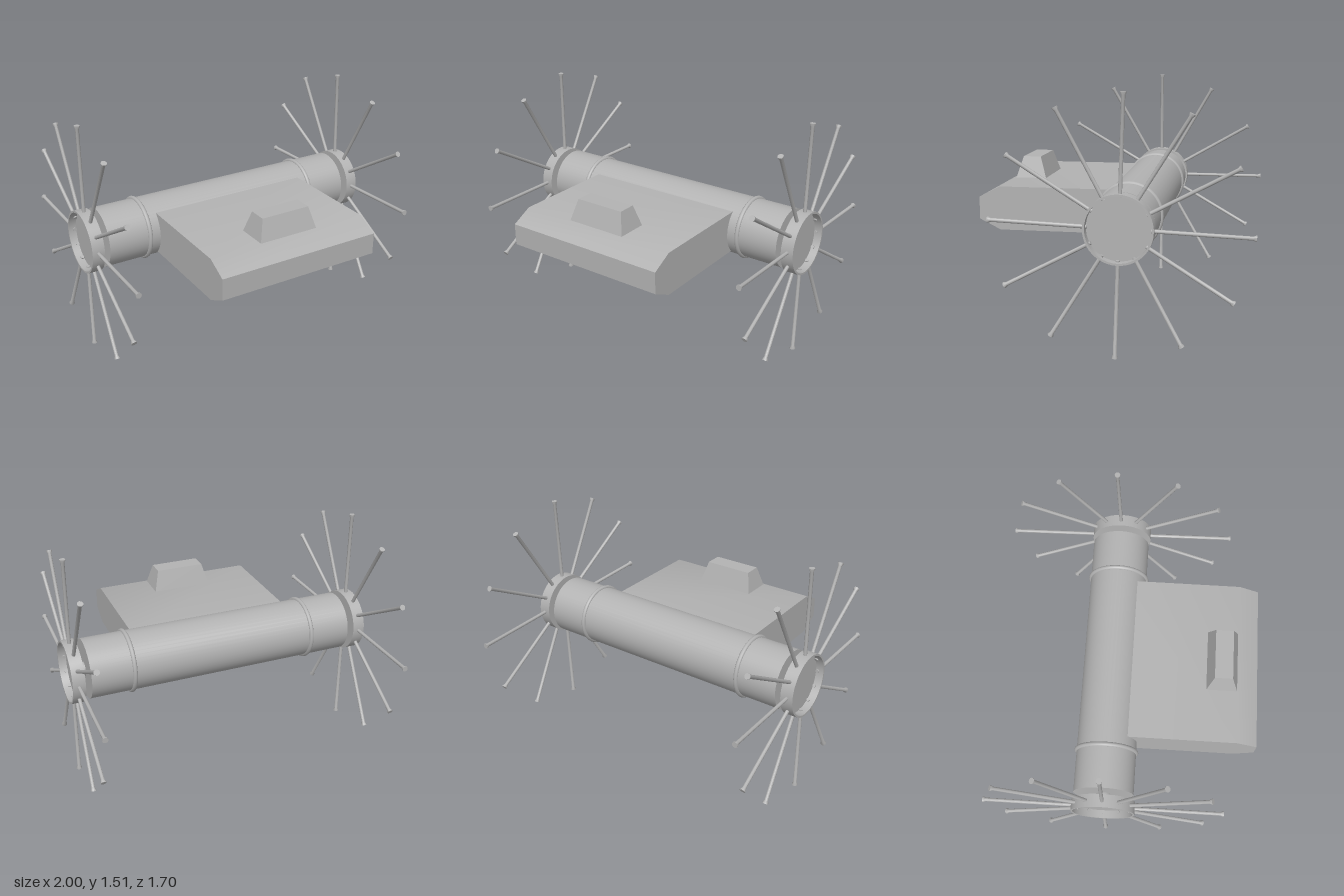
import * as THREE from 'three';
import { toCreasedNormals } from 'three/addons/utils/BufferGeometryUtils.js';

const AXIS_Y = 0.755, AXIS_Z = -0.095;
const v2 = pts => pts.map(([x, y]) => new THREE.Vector2(x, y));

export function createModel() {
  const model = new THREE.Group();
  const grey = new THREE.MeshStandardMaterial({ color: 0xb2b2b2 });
  grey.name = 'plain grey';

  const add = (parent, name, geometry) => {
    const mesh = new THREE.Mesh(geometry, grey);
    mesh.name = name;
    parent.add(mesh);
    return mesh;
  };

  // Long drum and axle, lying along x
  const roller = new THREE.Group();
  roller.name = 'roller';
  roller.position.set(0, AXIS_Y + 0.003, AXIS_Z - 0.002);
  model.add(roller);
  add(roller, 'drum', new THREE.CylinderGeometry(0.19, 0.19, 1.76, 48).rotateZ(Math.PI / 2));
  add(roller, 'axle', new THREE.CylinderGeometry(0.045, 0.045, 1.86, 24).rotateZ(Math.PI / 2));

  // Raised bands round the drum
  for (const side of [-1, 1]) {
    const band = add(roller, 'drumBand',
      new THREE.TorusGeometry(0.19, 0.0145, 10, 48).rotateY(Math.PI / 2));
    band.position.x = side * 0.607;
  }

  // Spoked wheels: dished hub and twelve flared spokes
  const hubGeometry = toCreasedNormals(new THREE.LatheGeometry(v2([
    [0, -0.04], [0.2, -0.04], [0.2, 0.04], [0.188, 0.04], [0.188, -0.01], [0, -0.01],
  ]), 48), 0.6);
  const spokeGeometry = toCreasedNormals(new THREE.LatheGeometry(v2([
    [0, 0.18], [0.0115, 0.18], [0.0115, 0.735], [0.018, 0.75], [0.018, 0.755], [0, 0.755],
  ]), 12), 0.8);
  for (const side of [-1, 1]) {
    const wheel = new THREE.Group();
    wheel.name = side > 0 ? 'leftWheel' : 'rightWheel';
    wheel.position.set(side * 0.96, AXIS_Y, AXIS_Z);
    if (side > 0) wheel.rotation.x = THREE.MathUtils.degToRad(-2);
    model.add(wheel);
    add(wheel, 'hub', hubGeometry).rotation.z = -side * Math.PI / 2;
    for (let i = 0; i < 12; i++) {
      add(wheel, 'spoke', spokeGeometry).rotation.x = i * Math.PI / 6;
    }
  }

  // Body: side profile (z, y) extruded across x
  const profile = new THREE.Shape(v2([
    [-0.05, 0.625], [0.72, 0.625], [0.85, 0.69], [0.85, 0.827], [0.72, 0.895], [-0.05, 0.895],
  ]));
  const body = new THREE.ExtrudeGeometry(profile, { depth: 1.076, bevelEnabled: false });
  body.translate(0, 0, -0.538).rotateY(-Math.PI / 2).scale(1, 1, 1);
  add(model, 'body', toCreasedNormals(body, 0.55));

  // Cabin: a box whose top is drawn in
  const cabin = new THREE.BoxGeometry(0.4, 0.145, 0.203);
  const p = cabin.attributes.position;
  for (let i = 0; i < p.count; i++) {
    if (p.getY(i) > 0) p.setXYZ(i, p.getX(i) * 0.81, p.getY(i), p.getZ(i) * 0.56);
  }
  const flatCabin = cabin.toNonIndexed();
  flatCabin.computeVertexNormals();
  add(model, 'cabin', flatCabin).position.set(0, 0.9575, 0.615);

  return model;
}
